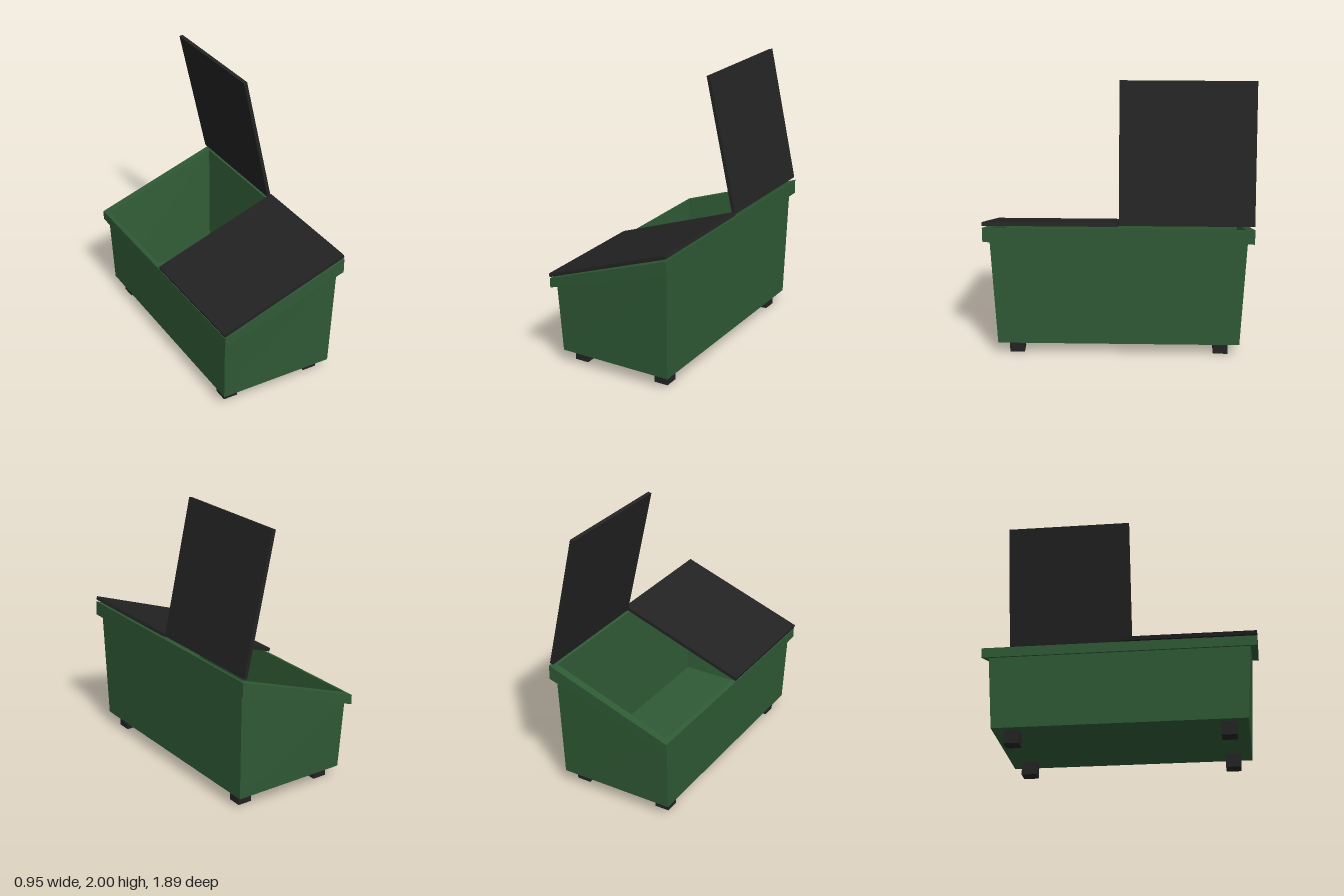
import * as THREE from 'three';

const green = new THREE.MeshStandardMaterial({ color: 0x2f5a35, flatShading: true });
const black = new THREE.MeshStandardMaterial({ color: 0x232323, flatShading: true });

// Rectangular ring of four corners; the height runs from yLow at -x to yHigh at +x.
function ring(x0, x1, z, yLow, yHigh) {
  return [[x0, yLow, z], [x1, yHigh, z], [x1, yHigh, -z], [x0, yLow, -z]];
}

// Skin a run of rings with quads, optionally closing the first or last ring.
function loft(name, rings, capFirst = false, capLast = false) {
  const pos = [];
  const quad = (a, b, c, d) => pos.push(...a, ...b, ...c, ...a, ...c, ...d);
  for (let r = 0; r < rings.length - 1; r++) {
    const lo = rings[r], hi = rings[r + 1];
    for (let i = 0; i < 4; i++) {
      const j = (i + 1) % 4;
      quad(lo[i], lo[j], hi[j], hi[i]);
    }
  }
  if (capFirst) quad(...[...rings[0]].reverse());
  if (capLast) quad(...rings[rings.length - 1]);
  const g = new THREE.BufferGeometry();
  g.setAttribute('position', new THREE.Float32BufferAttribute(pos, 3));
  g.computeVertexNormals();
  const mesh = new THREE.Mesh(g, green);
  mesh.name = name;
  return mesh;
}

// Flat lid panel running between two points of the xy plane.
function lid(name, from, to, z) {
  const dx = to[0] - from[0], dy = to[1] - from[1];
  const mesh = new THREE.Mesh(new THREE.BoxGeometry(Math.hypot(dx, dy), 0.026, 0.942), black);
  mesh.position.set((from[0] + to[0]) / 2, (from[1] + to[1]) / 2, z);
  mesh.rotation.z = Math.atan2(dy, dx);
  mesh.name = name;
  return mesh;
}

export function createModel() {
  const model = new THREE.Group();
  model.name = 'wasteContainer';

  // Tapered shell, overhanging rim and hollow inside share their edge rings
  const base = ring(-0.43, 0.435, 0.867, 0.095, 0.095);
  const neck = ring(-0.445, 0.45, 0.9, 0.605, 0.89);
  const rimLow = ring(-0.47, 0.475, 0.947, 0.6, 0.893);
  const rimTop = ring(-0.47, 0.475, 0.947, 0.67, 1.0);
  const mouth = ring(-0.44, 0.445, 0.89, 0.68, 0.99);
  const floor = ring(-0.4, 0.405, 0.812, 0.13, 0.13);
  model.add(
    loft('outerShell', [base, neck], true),
    loft('rim', [neck, rimLow, rimTop, mouth]),
    loft('innerShell', [mouth, floor], false, true),
  );

  // One lid shut on the slope, the other swung up
  model.add(
    lid('closedLid', [-0.475, 0.691], [0.47, 1.028], 0.476),
    lid('openLid', [0.454, 1.018], [0.237, 1.997], -0.474),
  );

  // Four block feet
  for (const x of [-0.332, 0.334]) {
    for (const z of [-0.735, 0.735]) {
      const foot = new THREE.Mesh(new THREE.BoxGeometry(0.106, 0.097, 0.106), black);
      foot.position.set(x, 0.0485, z);
      foot.name = 'foot';
      model.add(foot);
    }
  }
  return model;
}
